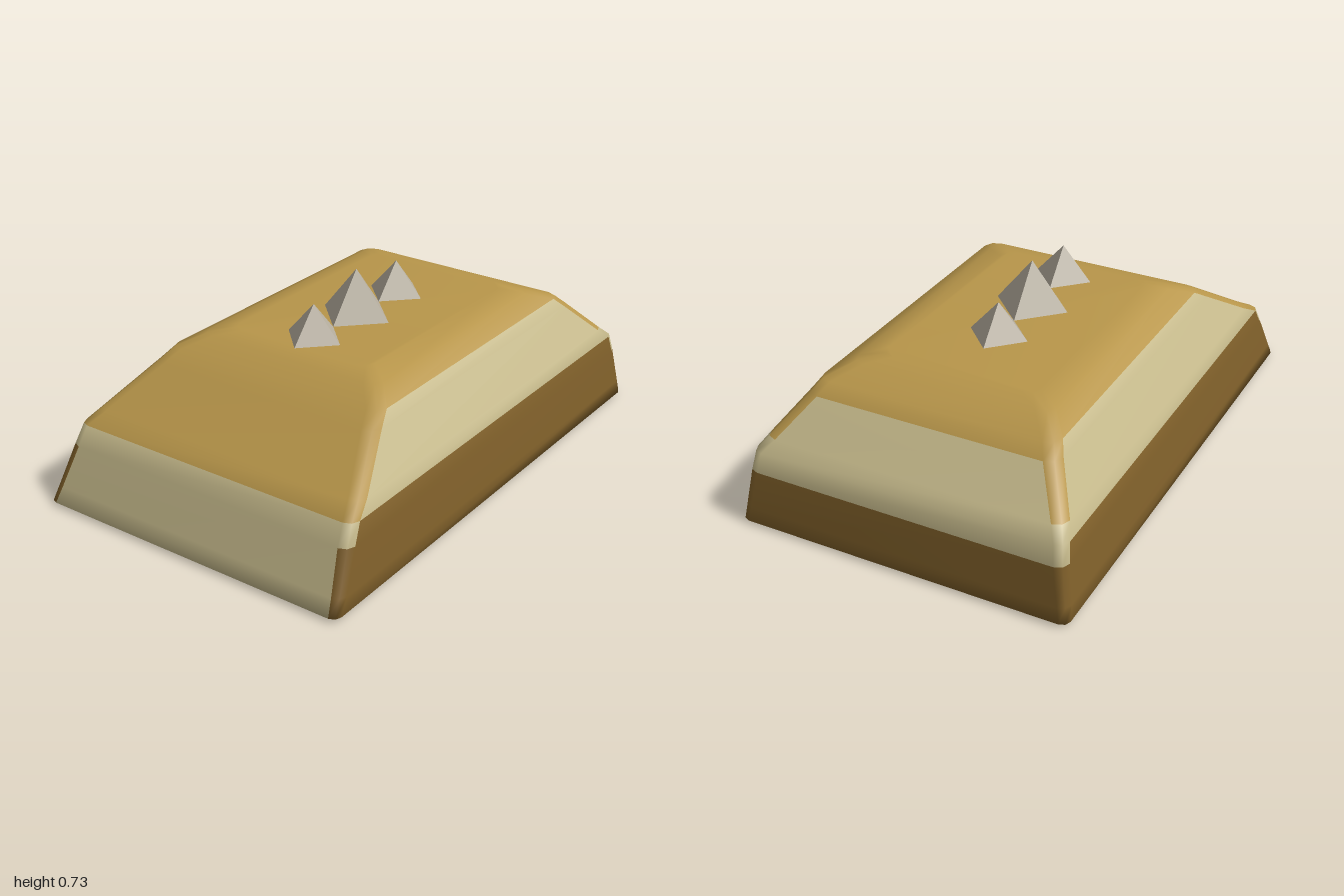
import * as THREE from 'three';

// Body cross-sections from bottom to top: height, rear x, front x, half depth, corner radius
const SECTIONS = [
  [0.003, -0.96, 0.96, 0.59, 0.03],
  [0.015, -1.0, 1.0, 0.635, 0.03],
  [0.07, -0.97, 0.99, 0.63, 0.035],
  [0.21, -0.9, 0.97, 0.61, 0.04],
  [0.28, -0.86, 0.95, 0.6, 0.04],
  [0.32, -0.79, 0.905, 0.575, 0.045],
  [0.45, -0.585, 0.775, 0.485, 0.05],
  [0.49, -0.52, 0.73, 0.46, 0.05],
  [0.53, -0.43, 0.63, 0.385, 0.05],
  [0.55, -0.36, 0.57, 0.3, 0.05],
];
const SIDES = ['endRight', 'long', 'endLeft', 'long'];
const COLORS = { underside: 0x0d0a07, lowerBand: 0x80602a, palePanels: 0xc4b88a, upperShell: 0xb8964a };

// Which part a patch belongs to, by layer and by position around the body
function partOf(layer, side, cornerX) {
  if (layer === 0) return 'underside';
  if (side === 'long') return layer < 4 ? 'lowerBand' : layer < 7 ? 'palePanels' : 'upperShell';
  if (side === 'endRight') return layer < 3 ? 'lowerBand' : layer < 6 ? 'palePanels' : 'upperShell';
  if (side === 'endLeft') return layer < 4 ? 'palePanels' : 'upperShell';
  if (cornerX > 0) return layer < 3 ? 'lowerBand' : layer < 5 ? 'palePanels' : 'upperShell';
  return layer < 3 ? 'lowerBand' : layer === 3 ? 'palePanels' : 'upperShell';
}

function createBody() {
  const positions = [];
  const indices = { underside: [], lowerBand: [], palePanels: [], upperShell: [] };
  const N = 12;

  // Rings of chamfered rectangles, three points per corner
  for (const [y, x0, x1, z, r] of SECTIONS) {
    for (let q = 0; q < 4; q++) {
      const cx = q < 2 ? x1 - r : x0 + r;
      const cz = q === 0 || q === 3 ? z - r : r - z;
      for (let s = 0; s < 3; s++) {
        const t = (q + s / 2) * Math.PI / 2;
        positions.push(cx + r * Math.sin(t), y, cz + r * Math.cos(t));
      }
    }
  }

  // Walls between rings
  for (let i = 0; i < SECTIONS.length - 1; i++) {
    for (let k = 0; k < N; k++) {
      const q = Math.floor(k / 3);
      const side = k % 3 === 2 ? SIDES[q] : 'corner';
      const a = i * N + k, b = i * N + (k + 1) % N;
      indices[partOf(i, side, q < 2 ? 1 : -1)].push(a, b, b + N, a, b + N, a + N);
    }
  }

  // Flat roof and underside
  const top = (SECTIONS.length - 1) * N;
  for (let k = 1; k < N - 1; k++) {
    indices.upperShell.push(top, top + k, top + k + 1);
    indices.underside.push(0, k + 1, k);
  }

  // One set of smooth normals shared by all colour parts
  const whole = new THREE.BufferGeometry();
  whole.setAttribute('position', new THREE.Float32BufferAttribute(positions, 3));
  whole.setIndex(Object.values(indices).flat());
  whole.computeVertexNormals();

  const body = new THREE.Group();
  body.name = 'body';
  for (const name in indices) {
    const geometry = new THREE.BufferGeometry();
    geometry.setAttribute('position', whole.getAttribute('position').clone());
    geometry.setAttribute('normal', whole.getAttribute('normal').clone());
    geometry.setIndex(indices[name]);
    const mesh = new THREE.Mesh(geometry, new THREE.MeshStandardMaterial({ color: COLORS[name] }));
    mesh.name = name;
    body.add(mesh);
  }
  return body;
}

// Four-sided spike standing on the roof
function createSpike(name, x, radius, height) {
  const material = new THREE.MeshStandardMaterial({ color: 0xb8b0a0, flatShading: true });
  const spike = new THREE.Mesh(new THREE.ConeGeometry(radius, height, 4), material);
  spike.position.set(x, 0.55 + height / 2, 0);
  spike.name = name;
  return spike;
}

export function createModel() {
  const model = new THREE.Group();
  model.name = 'spikedShell';
  model.add(
    createBody(),
    createSpike('middleSpike', 0, 0.145, 0.18),
    createSpike('leftSpike', 0.26, 0.115, 0.13),
    createSpike('rightSpike', -0.26, 0.115, 0.13),
  );
  return model;
}
